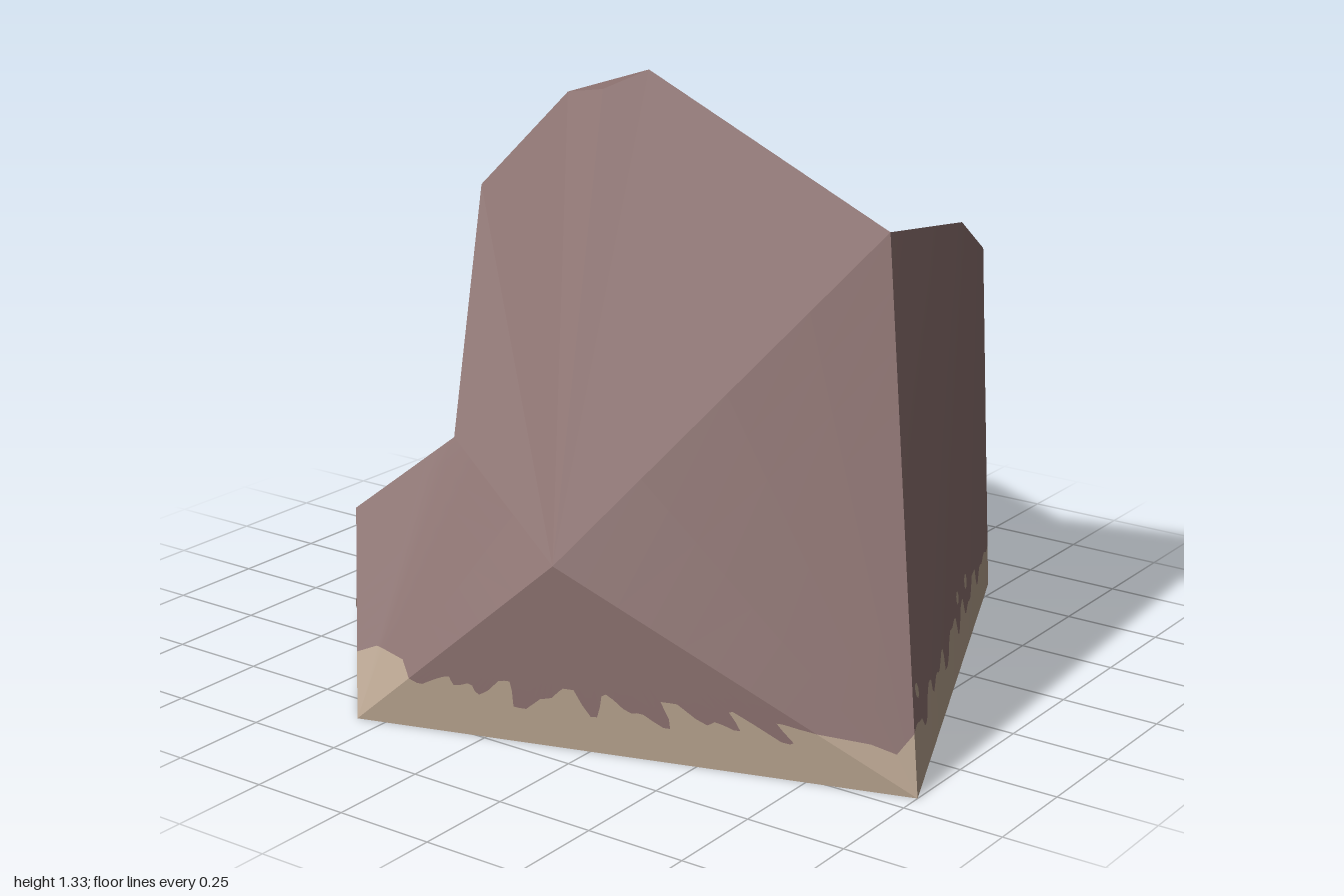
import * as THREE from 'three';

// Corner points of the boulder
const P = {
  // ground corners
  A: [-0.84, 0, -0.32], B: [-0.44, 0, 1.0], C: [0.835, 0, 0.46], E: [0.70, 0, -0.15], D: [-0.05, 0, -1.0],
  // shoulders
  F: [-0.61, 0.41, 0.10], G: [0.38, 1.06, 0.40], K: [0.78, 0.80, -0.28], H: [0.73, 0.76, -0.81], U: [0.35, 1.02, -0.89],
  // chipped front corner
  X: [0.745, 1.015, 0.395], Y: [0.82, 0.98, 0.31], Z: [0.835, 0.93, 0.41],
  // summit
  T: [0.72, 1.19, -0.75], S: [0.56, 1.26, -0.75], R: [0.72, 1.22, -0.61], Q: [0.56, 1.28, -0.63], P: [0.65, 1.33, -0.54],
  // back ledge
  M: [-0.46, 0.36, -0.65], N: [-0.33, 0.555, -0.43], O: [-0.26, 0.36, -0.58], V: [0.23, 0.21, -0.87], W: [0.05, 0.18, -0.97],
};
for (const k in P) P[k] = new THREE.Vector3(...P[k]);

// Facets standing on the ground: the first two corners are the ground edge
// (a repeated letter means the facet only touches the ground at that corner)
const GROUNDED = {
  frontFace: 'BCZXG', rightFace: 'CEHTRKYZ', backFace: 'EDWVH', backCorner: 'DDMW',
  backLeftFace: 'DAM', leftFace: 'ABF', leftSlope: 'BBGF', upperSlope: 'AAFNM',
};
const UPPER = {
  topFace: 'FGPQ', upperFace: 'FQSUN', summit: 'PRTSQ', summitSide: 'GKRP', shelf: 'GXYK', cornerChip: 'XZY',
  summitBack: 'USTH', backWall: 'VUH', recessWall: 'VONU', ledge: 'WMOV', ledgeStep: 'MNO',
};
// Loose sediment spots: position along the ground edge, height, radius
const SPOTS = {
  frontFace: [[0.535, 0.17, 0.017], [0.645, 0.165, 0.02], [0.03, 0.175, 0.018]],
  rightFace: [[0.04, 0.16, 0.02], [0.93, 0.155, 0.018]],
  backFace: [[0.1, 0.145, 0.018], [0.72, 0.15, 0.016]],
  backLeftFace: [[0.55, 0.16, 0.018], [0.8, 0.165, 0.016]],
};

// Flat polygon from a loop of corners, as a fan of triangles
function polygon(points) {
  const pos = [];
  for (let i = 1; i < points.length - 1; i++) {
    for (const p of [points[0], points[i], points[i + 1]]) pos.push(...p.toArray());
  }
  const g = new THREE.BufferGeometry();
  g.setAttribute('position', new THREE.Float32BufferAttribute(pos, 3));
  g.computeVertexNormals();
  return g;
}

// Smooth sheet of straight lines between two rows of points
function ruledSheet(lower, upper, rows) {
  const pos = [], index = [], n = lower.length;
  for (let j = 0; j <= rows; j++) {
    for (let i = 0; i < n; i++) {
      pos.push(...lower[i].clone().lerp(upper[i], j / rows).toArray());
      if (i === n - 1 || j === rows) continue;
      const k = j * n + i;
      index.push(k, k + 1, k + n + 1, k, k + n + 1, k + n);
    }
  }
  const g = new THREE.BufferGeometry();
  g.setAttribute('position', new THREE.Float32BufferAttribute(pos, 3));
  g.setIndex(index);
  g.computeVertexNormals();
  return g;
}

// Uneven sediment height: flat-topped lumps, fading to a fixed height at corners
function sedimentHeight(s, t) {
  const wave = Math.sin(s * 31) + 0.7 * Math.sin(s * 53 + 1) + 0.5 * Math.sin(s * 17 + 2);
  const lump = THREE.MathUtils.clamp(wave * 0.8, -1, 0.75);
  return 0.11 + 0.033 * lump * Math.min(1, 8 * t, 8 * (1 - t));
}

export function createModel() {
  const rock = new THREE.MeshStandardMaterial({ color: 0x866c6a });
  const sediment = new THREE.MeshStandardMaterial({ color: 0xb09c88 });
  rock.name = 'rock brown';
  sediment.name = 'sediment tan';
  rock.side = sediment.side = THREE.DoubleSide;

  const boulder = new THREE.Group();
  boulder.name = 'boulder';
  const add = (name, geometry, material) => {
    const mesh = new THREE.Mesh(geometry, material);
    mesh.name = name;
    boulder.add(mesh);
    return mesh;
  };

  for (const [name, loop] of Object.entries(UPPER)) {
    add(name, polygon([...loop].map((k) => P[k])), rock);
  }

  let offset = 0;
  for (const [name, loop] of Object.entries(GROUNDED)) {
    const [a, b, ...rest] = [...loop].map((k) => P[k]);
    // Upper rim of the facet, running the same way as the ground edge
    const rim = rest.reverse();
    const path = new THREE.CurvePath();
    rim.forEach((p, i) => {
      if (i > 0 || rim.length === 1) path.add(new THREE.LineCurve3(rim[Math.max(0, i - 1)], p));
    });
    const ground = (t) => a.clone().lerp(b, t);
    const at = (t, y) => {
      const top = path.getPoint(t);
      return ground(t).lerp(top, y / top.y);
    };

    // Even steps plus the exact corners of the rim
    const length = a.distanceTo(b);
    const steps = Math.max(4, Math.round(length * 50));
    const ts = Array.from({ length: steps + 1 }, (_, i) => i / steps);
    if (rim.length > 2) {
      const lengths = path.getCurveLengths();
      for (const l of lengths.slice(0, -1)) ts.push(l / lengths[lengths.length - 1]);
    }
    ts.sort((p, q) => p - q);

    const dip = name === 'leftSlope' ? 0.06 : 0;
    const line = ts.map((t) => at(t, sedimentHeight(offset + t * length, t) - dip * Math.sin(Math.PI * t)));
    offset += length;
    add(name, ruledSheet(line, ts.map((t) => path.getPoint(t)), 8), rock);
    add(name + 'Sediment', ruledSheet(ts.map(ground), line, 1), sediment);

    for (const [t, y, r] of SPOTS[name] || []) {
      const centre = at(t, y);
      const along = at(t + 0.01, y).sub(centre);
      const normal = along.cross(at(t, y + 0.01).sub(centre)).normalize();
      const spot = add('sedimentSpot', new THREE.CircleGeometry(r, 7), sediment);
      spot.position.copy(centre).addScaledVector(normal, 0.004);
      spot.quaternion.setFromUnitVectors(new THREE.Vector3(0, 0, 1), normal);
    }
  }
  return boulder;
}
